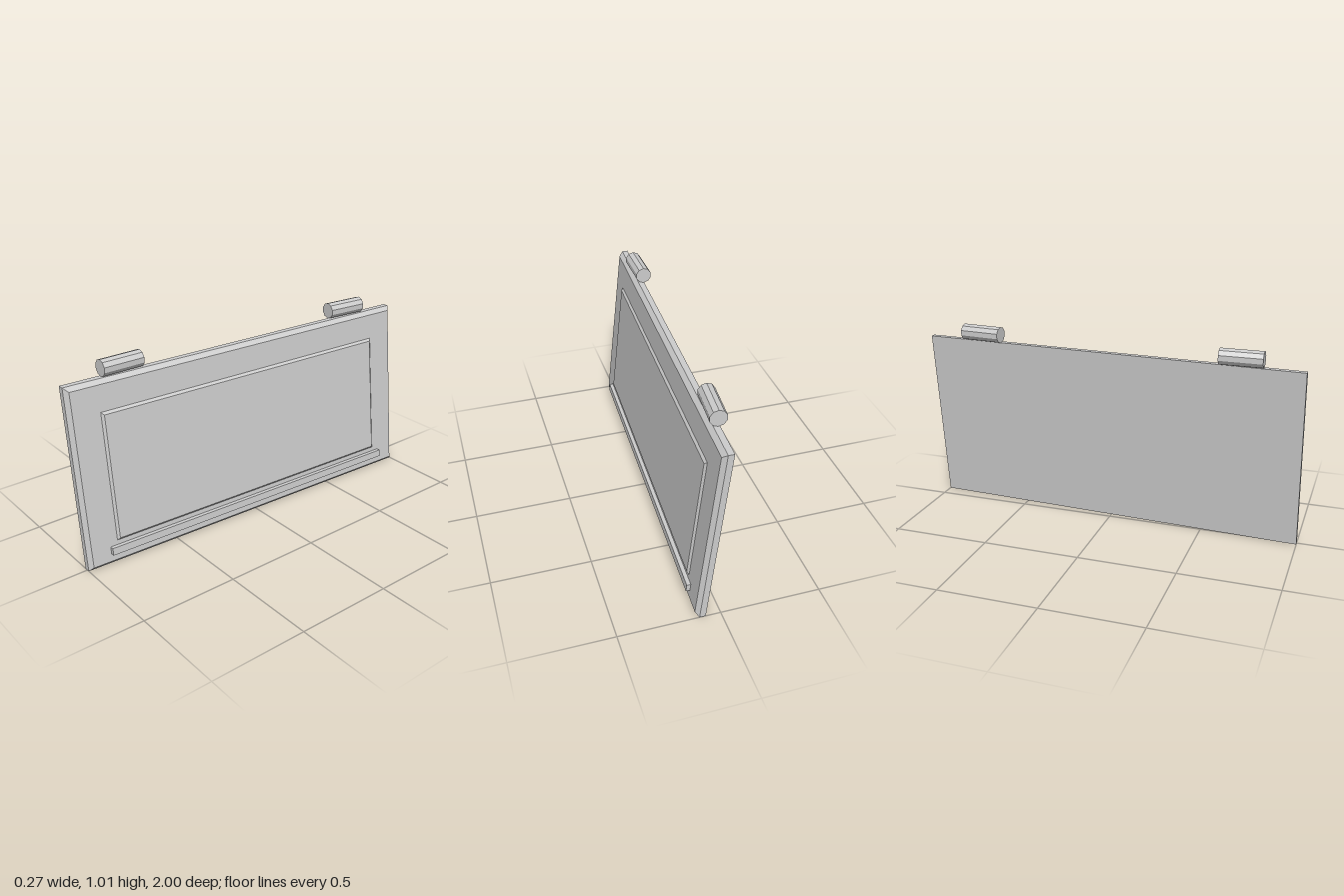
import * as THREE from 'three';

const material = new THREE.MeshStandardMaterial({ color: 0xcccccc, flatShading: true, side: THREE.DoubleSide });

// Leaning, slightly slanted back plane of the board: x for a given height and depth
const planeX = (y, z) => 0.0285 - 0.106 * y - 0.0455 * z;

// Plate on the leaning plane: straight from t0 to t1, then chamfered inwards to t2
function plate(name, [t0, t1, t2], [y0, y1], halfZ, inset) {
  const geo = new THREE.BoxGeometry(2, 2, 2, 2, 1, 1).toNonIndexed();
  const p = geo.attributes.position;
  for (let i = 0; i < p.count; i++) {
    const layer = Math.round(p.getX(i)) + 1;
    const d = layer === 2 ? inset : 0;
    const y = p.getY(i) > 0 ? y1 - d : y0 + d;
    const z = Math.sign(p.getZ(i)) * (halfZ - d);
    p.setXYZ(i, planeX(y, z) + [t0, t1, t2][layer], y, z);
  }
  geo.computeVertexNormals();
  const mesh = new THREE.Mesh(geo, material);
  mesh.name = name;
  return mesh;
}

// Hinge barrel lying along the top edge
function hinge(name, x, z, yaw) {
  const geo = new THREE.CylinderGeometry(0.042, 0.042, 0.215, 10).rotateX(Math.PI / 2);
  const mesh = new THREE.Mesh(geo, material);
  mesh.name = name;
  mesh.position.set(x, 0.967, z);
  mesh.rotation.y = yaw;
  return mesh;
}

export function createModel() {
  const group = new THREE.Group();
  group.name = 'hingedFlap';
  group.add(
    plate('board', [0, 0.03, 0.05], [0, 0.926], 1, 0.02),
    plate('raisedPanel', [0.045, 0.05, 0.06], [0.12, 0.775], 0.84, 0.012),
    plate('lowerRail', [0.045, 0.05, 0.07], [0.06, 0.097], 0.88, 0),
    hinge('frontHinge', -0.094, 0.69, 0),
    hinge('backHinge', -0.035, -0.69, -0.09),
  );
  return group;
}
